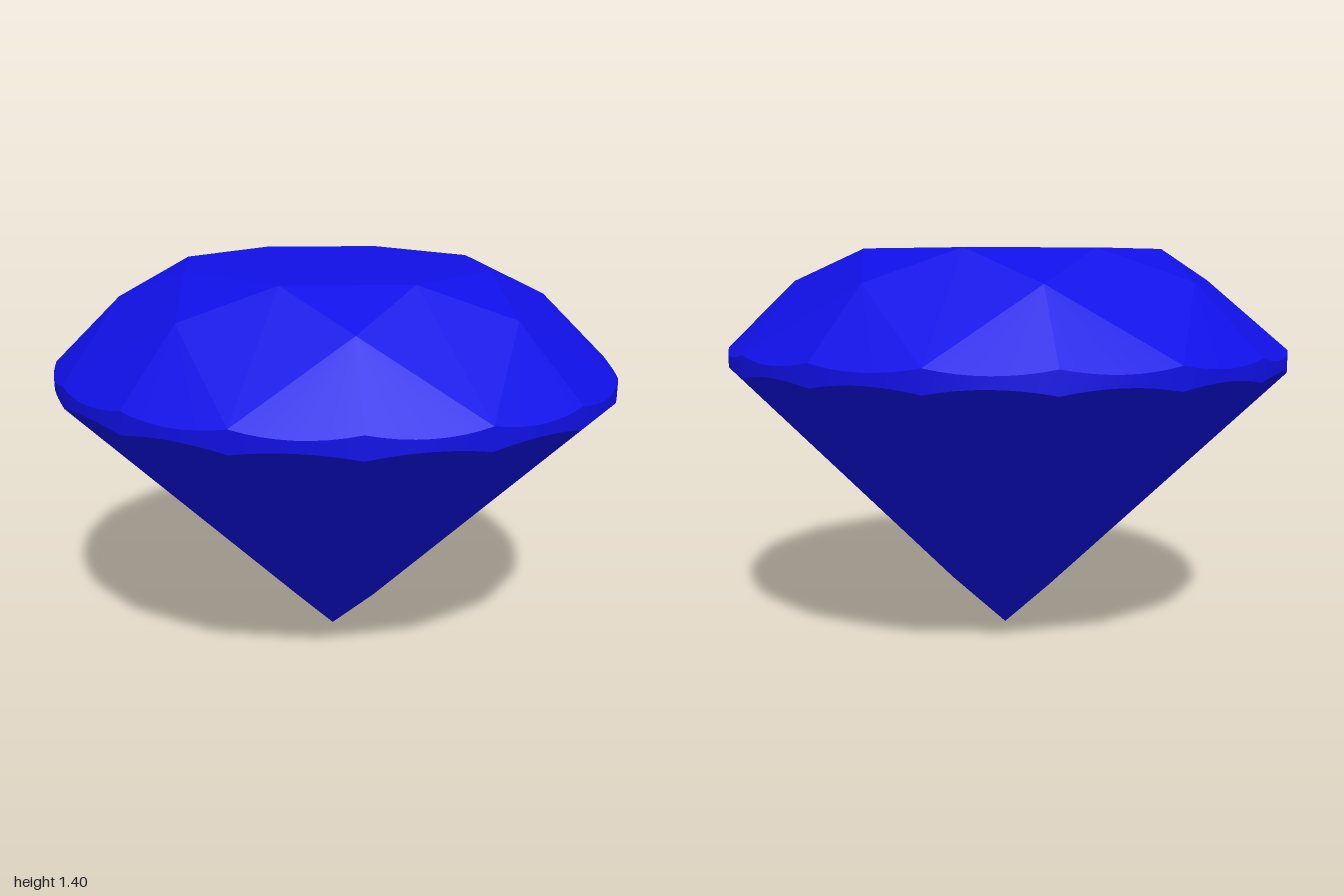
import * as THREE from 'three';

const N = 8;                 // symmetry of the cut
const STEP = Math.PI / 8;    // half a sector
const SUB = 8;               // girdle subdivisions per half sector
const DEPTH = 0.926;         // the outline is slightly oval

const TABLE = { r: 0.56, y: 1.4 };
const CROWN = 1.057, PAVILION = 0.98;  // girdle heights at the facet corners
const onMain = (r) => r * Math.cos(STEP);
const STAR = { r: 0.76 };
STAR.y = TABLE.y - (TABLE.y - CROWN) * (onMain(STAR.r) - TABLE.r) / (1 - TABLE.r);
const LOWER = { r: 0.2, y: PAVILION * onMain(0.2) };

// Point at a given number of half sectors round the axis
const point = (r, y, k) =>
  new THREE.Vector3(r * Math.cos(k * STEP), y, DEPTH * r * Math.sin(k * STEP));

// Height of a girdle facet's plane where it cuts the round outline (t = 0..1)
function girdleHeight(edgeY, inner, t) {
  const mid = Math.cos(STEP / 2);
  const slope = (inner.y - edgeY) / (inner.r * mid - mid);
  return edgeY + slope * (Math.cos((t - 0.5) * STEP) - mid);
}
const girdlePoint = (edgeY, inner, k, i) =>
  point(1, girdleHeight(edgeY, inner, i / SUB), k + i / SUB);

// Flat convex facets, each fanned from its first corner and turned outward
function facetGeometry(facets) {
  const centre = new THREE.Vector3(0, 0.9, 0);
  const pts = [];
  for (const f of facets) {
    for (let i = 1; i < f.length - 1; i++) {
      const [a, b, c] = [f[0], f[i], f[i + 1]];
      const n = b.clone().sub(a).cross(c.clone().sub(a));
      pts.push(...(n.dot(a.clone().sub(centre)) > 0 ? [a, b, c] : [a, c, b]));
    }
  }
  const g = new THREE.BufferGeometry().setFromPoints(pts);
  g.computeVertexNormals();
  return g;
}

// Smooth band between the two scalloped edges
function girdleGeometry() {
  const pts = [], index = [], count = 2 * N * SUB;
  for (let j = 0; j < count; j++) {
    const k = Math.floor(j / SUB), i = j % SUB;
    pts.push(girdlePoint(PAVILION, LOWER, k, i), girdlePoint(CROWN, STAR, k, i));
    const a = 2 * j, b = 2 * ((j + 1) % count);
    index.push(a, a + 1, b, a + 1, b + 1, b);
  }
  const g = new THREE.BufferGeometry().setFromPoints(pts);
  g.setIndex(index);
  g.computeVertexNormals();
  return g;
}

export function createModel() {
  const gem = new THREE.Group();
  gem.name = 'gem';
  const material = new THREE.MeshStandardMaterial({ color: 0x1010e6 });
  const add = (name, geometry) => {
    const mesh = new THREE.Mesh(geometry, material);
    mesh.name = name;
    gem.add(mesh);
  };

  const table = [], stars = [], kites = [], mains = [];
  const tip = new THREE.Vector3(0, 0, 0);
  for (let s = 0; s < N; s++) {
    const k = 2 * s;
    const corner = point(TABLE.r, TABLE.y, k);
    table.push(corner);
    stars.push([corner, point(STAR.r, STAR.y, k + 1), point(TABLE.r, TABLE.y, k + 2)]);
    kites.push([corner, point(STAR.r, STAR.y, k - 1), point(1, CROWN, k), point(STAR.r, STAR.y, k + 1)]);
    mains.push([tip, point(LOWER.r, LOWER.y, k - 1), point(1, PAVILION, k), point(LOWER.r, LOWER.y, k + 1)]);
  }

  // Paired facets that meet the girdle above and below
  const upper = [], lower = [];
  for (let k = 0; k < 2 * N; k++) {
    const odd = k % 2 ? k : k + 1;
    const edge = (y, inner) => Array.from({ length: SUB + 1 }, (_, i) => girdlePoint(y, inner, k, i));
    upper.push([point(STAR.r, STAR.y, odd), ...edge(CROWN, STAR)]);
    lower.push([point(LOWER.r, LOWER.y, odd), ...edge(PAVILION, LOWER)]);
  }

  add('table', facetGeometry([table]));
  add('starFacets', facetGeometry(stars));
  add('crownKites', facetGeometry(kites));
  add('upperGirdleFacets', facetGeometry(upper));
  add('girdle', girdleGeometry());
  add('lowerGirdleFacets', facetGeometry(lower));
  add('pavilionMains', facetGeometry(mains));
  return gem;
}
